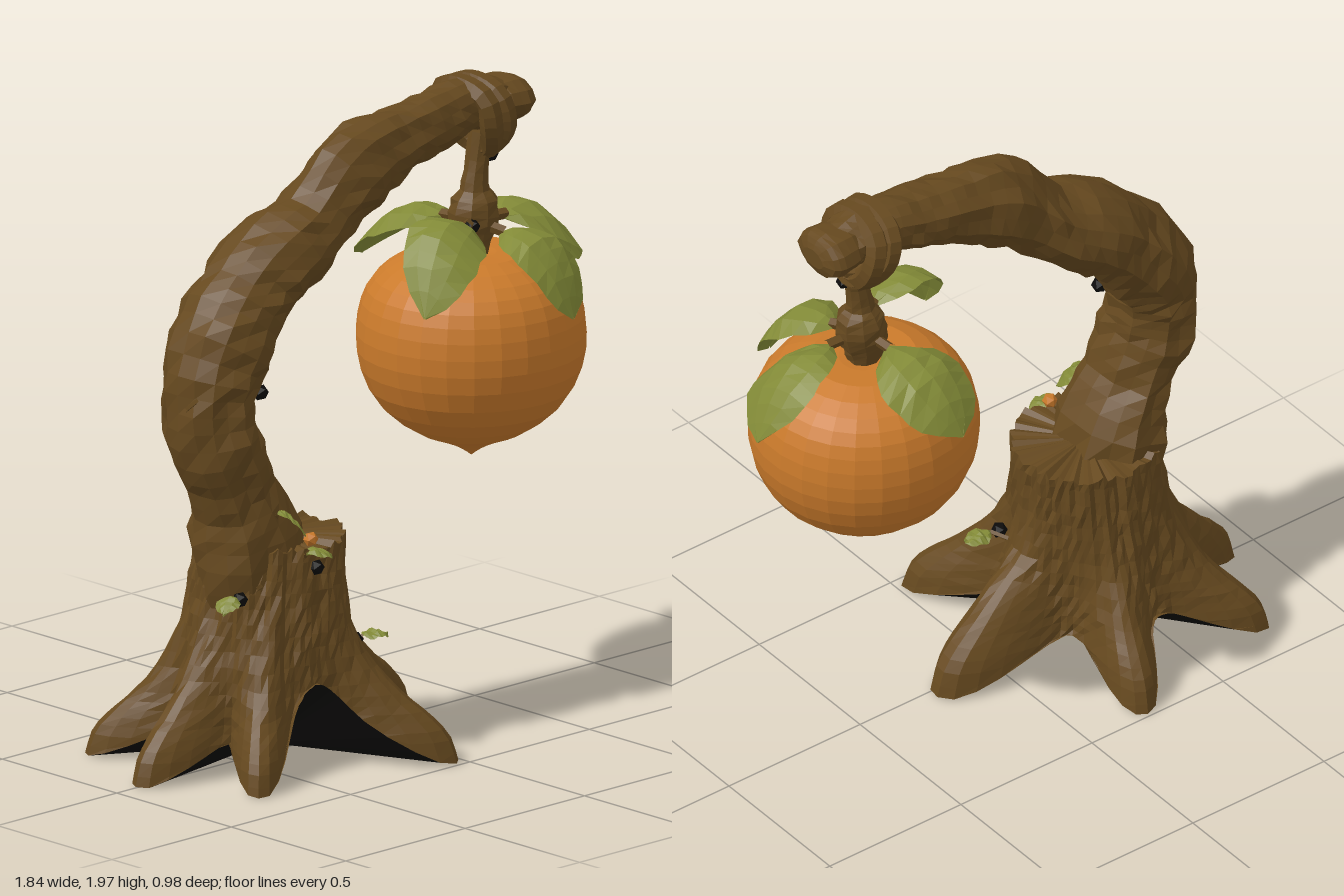
import * as THREE from 'three';

const mat = (name, color, extra = {}) => {
  const m = new THREE.MeshStandardMaterial({ color, flatShading: true, ...extra });
  m.name = name;
  return m;
};
const V = (x, y, z) => new THREE.Vector3(x, y, z);

// Repeatable pseudo-random value in -1..1 for bark lumps
const rough = (i, j) => {
  const s = Math.sin(i * 12.9898 + j * 78.233) * 43758.5453;
  return (s - Math.floor(s)) * 2 - 1;
};

// Skin over stacked rings of points, closed at both ends by centre points.
// Group 0 is the skin and start cap, group 1 the end cap.
function skin(rings, start, end) {
  const cols = rings[0].length, pts = [...rings.flat(), start, end];
  const index = [], cap = [], first = pts.length - 2, e = (rings.length - 1) * cols;
  for (let j = 0; j < cols; j++) {
    const k = (j + 1) % cols;
    for (let p = 0; p < e; p += cols) index.push(p + j, p + k, p + cols + k, p + j, p + cols + k, p + cols + j);
    index.push(k, j, first);
    cap.push(e + j, e + k, first + 1);
  }
  const g = new THREE.BufferGeometry().setFromPoints(pts);
  g.setIndex([...index, ...cap]);
  const flat = g.toNonIndexed();
  flat.addGroup(0, index.length, 0);
  flat.addGroup(index.length, cap.length, 1);
  flat.computeVertexNormals();
  return flat;
}

// Tapering limb. Sections: [x, y, z, radius in bend plane, radius along z]
function limbGeometry(sections, { rows = 20, cols = 14, bump = 0.08, seed = 0 } = {}) {
  const path = new THREE.CatmullRomCurve3(sections.map(s => V(s[0], s[1], s[2])));
  const size = new THREE.CatmullRomCurve3(sections.map(s => V(s[3], s[4] ?? s[3], 0)));
  const side = V(0, 0, 1), rings = [];
  for (let i = 0; i <= rows; i++) {
    const c = path.getPoint(i / rows), r = size.getPoint(i / rows);
    const n = side.clone().cross(path.getTangent(i / rows)).normalize();
    rings.push(Array.from({ length: cols }, (_, j) => {
      const a = (j / cols) * Math.PI * 2;
      const k = 1 + bump * (0.65 * rough(i + seed, j) + 0.6 * rough(seed + 3, j) + 0.4 * Math.sin(i * 0.9 + seed));
      return c.clone().addScaledVector(n, r.x * k * Math.cos(a)).addScaledVector(side, r.y * k * Math.sin(a));
    }));
  }
  return skin(rings, path.getPoint(0), path.getPoint(1));
}

// Stump flaring into roots: the radius grows toward each root tip as the skin descends
function stumpGeometry(tips, rows = 18, cols = 90) {
  const flare = new THREE.SplineCurve([[0, 0.72], [0, 0.62], [0.03, 0.52], [0.12, 0.42], [0.29, 0.32], [0.53, 0.235],
    [0.74, 0.175], [0.92, 0.11], [1, 0.03]].map(p => new THREE.Vector2(...p)));
  const roots = tips.map(([x, z, k]) => ({ a: Math.atan2(z, x + 0.38), len: Math.hypot(x + 0.38, z), k }));
  const rings = [];
  for (let i = 0; i <= rows; i++) {
    const f = flare.getPoint(i / rows);
    rings.push(Array.from({ length: cols }, (_, j) => {
      const a = (-j / cols) * Math.PI * 2;
      let lobe = 0, len = 0.5, k = 1;
      for (const r of roots) {
        const d = Math.atan2(Math.sin(a - r.a), Math.cos(a - r.a));
        const l = Math.exp(-((d / (0.27 * r.k)) ** 2));
        if (l > lobe) { lobe = l; len = r.len; k = 1 + (r.k - 1) * l; }
      }
      // The lower edge arches up between roots, highest at the front
      const edge = 0.02 + (0.13 + 0.15 * Math.max(0, Math.cos(a - 1.65)) ** 8) * (1 - lobe);
      const t = (0.72 - f.y) / 0.69;
      const y = Math.max(edge, f.y < 0.4 ? f.y * (1 + (k - 1) * Math.min(1, (0.4 - f.y) * 8)) : f.y);
      const base = (0.222 + 0.03 * t) * (1 + 0.05 * rough(2, Math.floor(j / 3)) * (1 - f.x) + 0.03 * rough(i, j));
      const r = base + Math.max(0, f.x) * lobe * (len - base);
      const cx = -0.355 - 0.025 * Math.min(1, t * 2);
      return V(cx + r * Math.cos(a), y + (i === 0 ? 0.012 * rough(7, j) : 0), r * Math.sin(a));
    }));
  }
  // Rings run downward, so reverse them to face outward
  rings.forEach(r => r.reverse());
  return skin(rings, V(-0.36, 0.72, 0), V(-0.38, 0.06, 0));
}

// Arched leaf blade along a quadratic curve, drooping at its edges and rolled to one side
function leafGeometry(base, ctrl, tip, half, roll = 0, seed = 0) {
  const curve = new THREE.QuadraticBezierCurve3(V(...base), V(...ctrl), V(...tip));
  const side = V(tip[0] - base[0], 0, tip[2] - base[2]).cross(V(0, 1, 0)).normalize();
  const g = new THREE.PlaneGeometry(1, 1, 4, 9);
  const p = g.attributes.position;
  for (let i = 0; i < p.count; i++) {
    const v = p.getX(i) * 2, u = p.getY(i) + 0.5;
    const w = half * Math.pow(Math.max(0, Math.sin(Math.PI * Math.pow(u, 0.95))), 0.62) + 0.004;
    const q = curve.getPoint(u).addScaledVector(side, v * w * (1 + 0.08 * rough(i, seed)));
    q.y += w * (0.12 - 0.42 * v * v + roll * v) + 0.006 * rough(i, seed + 9);
    p.setXYZ(i, q.x, q.y, q.z);
  }
  const flat = g.toNonIndexed();
  flat.computeVertexNormals();
  return flat;
}

export function createModel() {
  const bark = mat('bark brown', 0x66491f);
  const dark = mat('hollow black', 0x0c0b0a);
  const orange = mat('fruit orange', 0xca7a2b);
  const green = mat('leaf green', 0x828a37, { side: THREE.DoubleSide });
  const root = new THREE.Group();
  root.name = 'fruitTree';
  const add = (name, geo, m) => {
    const mesh = new THREE.Mesh(geo, m);
    mesh.name = name;
    root.add(mesh);
    return mesh;
  };
  const allBark = [bark, bark];

  // Flat-topped stump and roots with a dark underside; tips: x, z, thickness
  add('stumpAndRoots', stumpGeometry([
    [-0.92, 0, 1], [-0.78, -0.37, 0.95], [-0.21, -0.49, 1], [-0.73, 0.34, 0.92], [-0.03, 0.485, 1], [0.24, -0.03, 1.15],
  ]), [bark, dark]);

  // Trunk rising from the stump and arching over to the right
  add('archedTrunk', limbGeometry([
    [-0.42, 0.42, 0, 0.17, 0.18], [-0.465, 0.74, 0, 0.15, 0.18], [-0.535, 0.92, 0, 0.12, 0.16],
    [-0.6, 1.1, -0.01, 0.125, 0.16], [-0.59, 1.26, -0.02, 0.135, 0.17], [-0.49, 1.42, -0.03, 0.14, 0.17],
    [-0.37, 1.54, -0.03, 0.135, 0.165], [-0.19, 1.645, -0.02, 0.115, 0.145], [-0.02, 1.785, 0, 0.13, 0.12],
    [0.14, 1.84, 0, 0.11, 0.11], [0.3, 1.875, 0, 0.088, 0.1], [0.45, 1.905, 0, 0.085, 0.095], [0.58, 1.895, 0, 0.065, 0.08],
  ], { rows: 46, cols: 16, bump: 0.11, seed: 11 }), allBark);

  // Rounded knob at the end of the branch
  add('branchKnob', limbGeometry([
    [0.53, 1.893, 0, 0.05, 0.07], [0.57, 1.893, 0, 0.07, 0.1], [0.63, 1.892, 0, 0.073, 0.108],
    [0.665, 1.892, 0, 0.06, 0.09], [0.68, 1.892, 0, 0.03, 0.05],
  ], { rows: 8, cols: 12, bump: 0.05, seed: 2 }), allBark);

  // Vine wrapped twice over the branch, gathering into the hanging stem
  [-0.035, 0.02].forEach(dx => {
    const loop = new THREE.CatmullRomCurve3([
      V(0.48 + dx, 1.962, 0), V(0.49 + dx, 1.93, 0.095), V(0.51 + dx, 1.84, 0.1), V(0.53, 1.76, 0.03),
      V(0.53, 1.76, -0.03), V(0.51 + dx, 1.84, -0.1), V(0.49 + dx, 1.93, -0.095),
    ], true);
    add('vineBand', new THREE.TubeGeometry(loop, 24, 0.036, 6, true), bark);
  });
  add('hangingStem', limbGeometry([
    [0.485, 1.42, 0, 0.05], [0.485, 1.48, 0, 0.065], [0.495, 1.54, 0, 0.08], [0.5, 1.595, 0, 0.072],
    [0.5, 1.63, 0, 0.042], [0.51, 1.7, 0, 0.038], [0.53, 1.8, 0, 0.042],
  ], { rows: 14, cols: 9, seed: 31 }), allBark);

  // Full round fruit with a small pointed bottom
  const profile = new THREE.SplineCurve([[0, 0.79], [0.03, 0.812], [0.08, 0.838], [0.19, 0.885], [0.29, 0.97], [0.343, 1.08],
    [0.355, 1.18], [0.342, 1.27], [0.31, 1.34], [0.25, 1.395], [0.15, 1.435], [0, 1.42]].map(p => new THREE.Vector2(...p)));
  const fruit = add('fruit', new THREE.LatheGeometry(profile.getPoints(20), 26), orange);
  fruit.position.set(0.485, 0, 0);
  fruit.scale.z = 0.975;

  // Four leaves with short stalks radiating from the stem
  const leaves = [
    [[0.41, 1.53, 0.07], [0.2, 1.67, 0.15], [0.1, 1.34, 0.2], 0.115, 0.35],
    [[0.52, 1.5, 0.09], [0.57, 1.57, 0.28], [0.57, 1.28, 0.36], 0.125, 0],
    [[0.6, 1.52, 0.01], [0.8, 1.58, 0.0], [0.915, 1.32, -0.03], 0.125, -0.35],
    [[0.48, 1.52, -0.1], [0.45, 1.57, -0.3], [0.43, 1.35, -0.42], 0.145, 0],
  ];
  leaves.forEach(([b, c, t, w, roll], i) => {
    add('leaf', leafGeometry(b, c, t, w, roll, i * 3), green);
    const stalk = new THREE.LineCurve3(V(0.49, 1.53, 0), V(...b).lerp(V(...c), 0.1));
    add('leafStalk', new THREE.TubeGeometry(stalk, 2, 0.018, 5), bark);
  });

  // Tiny sprouts on the trunk: foot, twig end, leaf tip
  const sprouts = [
    [[-0.48, 0.8, 0.14], [-0.485, 0.835, 0.165], [-0.41, 0.765, 0.21]],
    [[-0.42, 0.68, 0.19], [-0.42, 0.71, 0.225], [-0.33, 0.69, 0.24]],
    [[-0.6, 0.56, 0.1], [-0.63, 0.59, 0.13], [-0.7, 0.56, 0.15]],
    [[-0.16, 0.36, 0.1], [-0.12, 0.375, 0.16], [-0.03, 0.37, 0.17]],
    [[-0.7, 1.22, 0.05], [-0.77, 1.2, 0.06]],
    [[-0.55, 0.62, 0.16], [-0.61, 0.63, 0.2]],
  ];
  sprouts.forEach(([a, b, tip], i) => {
    add('twig', new THREE.TubeGeometry(new THREE.LineCurve3(V(...a), V(...b)), 1, 0.008, 4), bark);
    if (!tip) return;
    add('sproutLeaf', leafGeometry(b, [(b[0] + tip[0]) / 2, b[1] + 0.02, b[2]], tip, 0.036, 0, i), green);
  });
  const bud = add('bud', new THREE.IcosahedronGeometry(0.024, 0), orange);
  bud.position.set(-0.37, 0.74, 0.19);

  // Small dark knotholes and crevices
  const knots = [[-0.38, 0.66, 0.225], [-0.6, 0.58, 0.12], [-0.15, 0.37, 0.155], [-0.475, 1.2, 0.08],
    [0.545, 1.73, 0.02], [0.44, 1.53, 0.05]];
  knots.forEach(p => {
    const knot = add('knothole', new THREE.IcosahedronGeometry(0.026, 0), dark);
    knot.position.set(...p);
  });
  return root;
}
